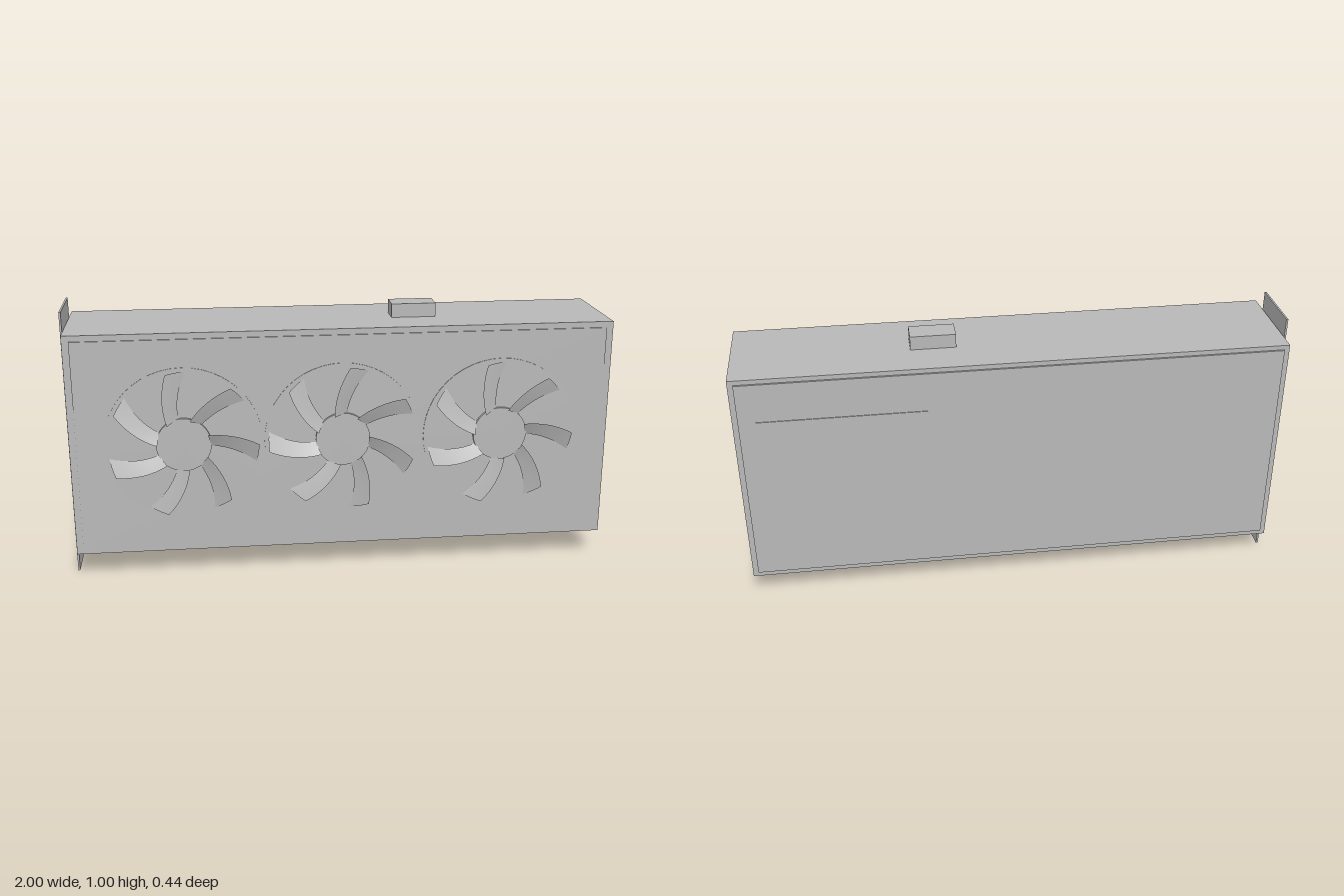
import * as THREE from 'three';

const grey = new THREE.MeshStandardMaterial({ color: 0xb8b8b8, side: THREE.DoubleSide });
grey.name = 'plain grey';

// Box given by its minimum and maximum corners
function box(name, [x0, y0, z0], [x1, y1, z1]) {
  const mesh = new THREE.Mesh(new THREE.BoxGeometry(x1 - x0, y1 - y0, z1 - z0), grey);
  mesh.name = name;
  mesh.position.set((x0 + x1) / 2, (y0 + y1) / 2, (z0 + z1) / 2);
  return mesh;
}

// Disc facing +z, from z0 to z1
function disc(name, radius, z0, z1) {
  const geometry = new THREE.CylinderGeometry(radius, radius, z1 - z0, 48);
  geometry.rotateX(Math.PI / 2).translate(0, 0, (z0 + z1) / 2);
  const mesh = new THREE.Mesh(geometry, grey);
  mesh.name = name;
  return mesh;
}

// Thin swept blade: widens outward, bends clockwise and is pitched across its width
function bladeGeometry() {
  const geometry = new THREE.PlaneGeometry(1, 1, 5, 8);
  const p = geometry.attributes.position;
  for (let i = 0; i < p.count; i++) {
    const u = p.getX(i) * 2;
    const v = p.getY(i) + 0.5;
    const r = 0.095 + 0.178 * v;
    const middle = THREE.MathUtils.degToRad(113 - 18.5 * v);
    const angle = middle - u * (0.023 + 0.013 * v) / r;
    const z = 0.205 - 0.004 * v - 0.011 * u + 0.004 * Math.sin(Math.PI * v);
    p.setXYZ(i, r * Math.cos(angle), r * Math.sin(angle), z);
  }
  geometry.computeVertexNormals();
  return geometry;
}

function fan(x, turn, blade) {
  const group = new THREE.Group();
  group.name = 'fan';
  group.position.set(x, 0.52, 0);
  group.add(disc('fanSurround', 0.287, 0.185, 0.1895));
  group.add(disc('fanHub', 0.1, 0.187, 0.2));
  for (let i = 0; i < 7; i++) {
    const mesh = new THREE.Mesh(blade, grey);
    mesh.name = 'fanBlade';
    mesh.rotation.z = turn + (i * Math.PI * 2) / 7;
    group.add(mesh);
  }
  return group;
}

export function createModel() {
  const model = new THREE.Group();
  model.name = 'graphicsCard';

  // Casing with slightly raised front and back covers
  model.add(
    box('casing', [-0.99, 0.1, -0.207], [1, 0.932, 0.182]),
    box('frontCover', [-0.965, 0.125, 0.18], [0.975, 0.91, 0.187]),
    box('backPlate', [-0.97, 0.12, -0.214], [0.98, 0.915, -0.205]),
    box('backPanel', [0.32, 0.26, -0.217], [0.92, 0.768, -0.213]),
  );

  // Mounting bracket, power socket and edge connector
  model.add(
    box('bracket', [-1, 0, -0.135], [-0.993, 1, 0.108]),
    box('bracketMount', [-0.994, 0.12, -0.13], [-0.989, 0.91, 0.1]),
    box('powerSocket', [0.2, 0.93, -0.057], [0.365, 0.983, 0.031]),
    box('edgeConnector', [-0.44, 0.036, -0.019], [0.45, 0.102, -0.008]),
  );

  // Three fans, the middle one turned a little
  const blade = bladeGeometry();
  for (const [x, turn] of [[-0.58, 0], [0, -0.3], [0.587, 0]]) model.add(fan(x, turn, blade));

  return model;
}
